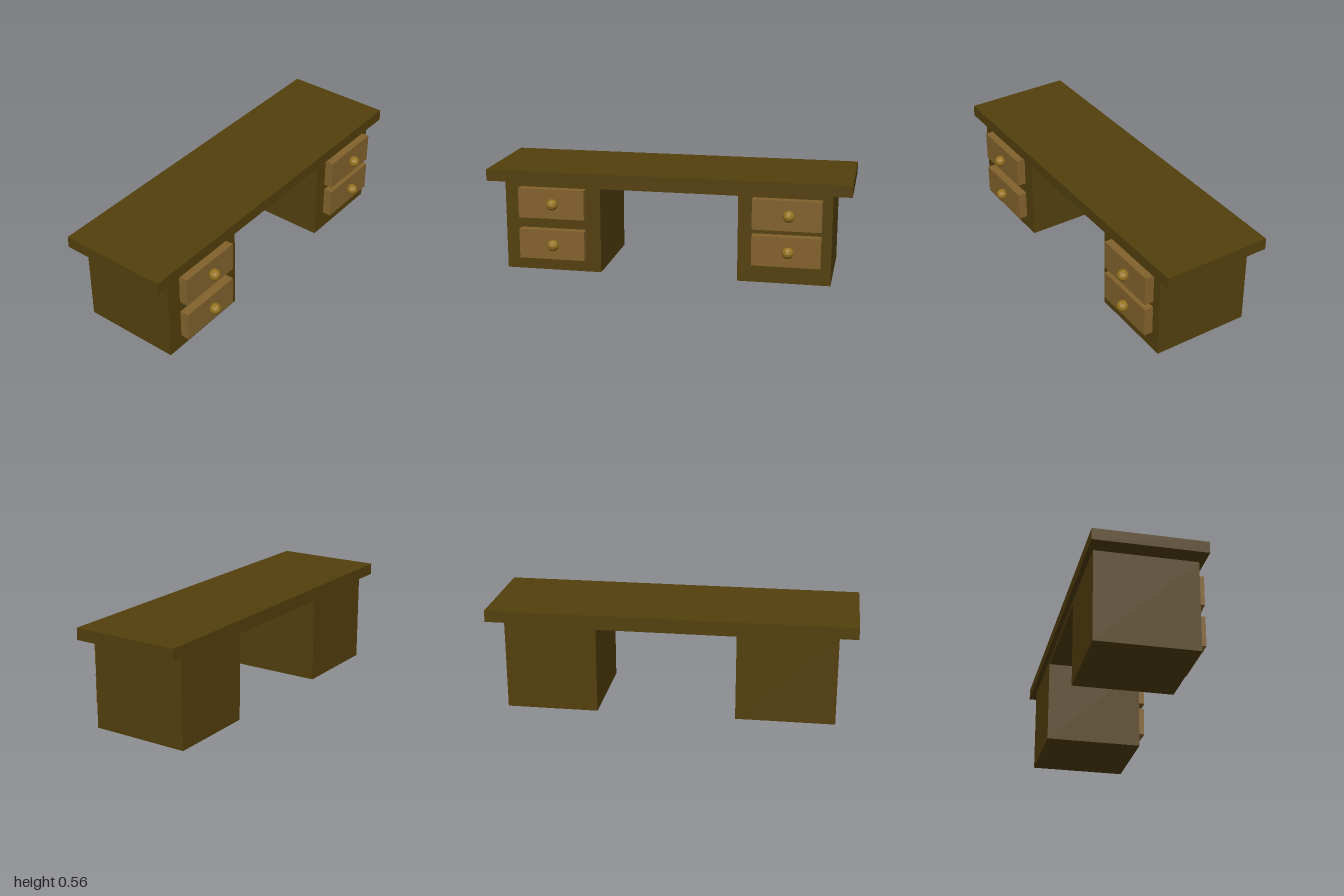
import * as THREE from 'three';

export function createModel() {
  const desk = new THREE.Group();
  desk.name = 'desk';

  const makeMaterial = (name, color) => {
    const m = new THREE.MeshStandardMaterial({ color });
    m.name = name;
    return m;
  };
  const darkWood = makeMaterial('dark wood', 0x54400d);
  const lightWood = makeMaterial('light wood', 0x83622d);
  const brass = makeMaterial('brass', 0x96731f);
  brass.flatShading = true;

  // Box given by its lower and upper limits on each axis
  const addBox = (parent, name, material, [x0, x1], [y0, y1], [z0, z1]) => {
    const mesh = new THREE.Mesh(new THREE.BoxGeometry(x1 - x0, y1 - y0, z1 - z0), material);
    mesh.position.set((x0 + x1) / 2, (y0 + y1) / 2, (z0 + z1) / 2);
    mesh.name = name;
    parent.add(mesh);
  };

  const depth = [-0.309, 0.237];
  addBox(desk, 'desktop', darkWood, [-0.337, 0.265], [0.499, 0.563], [-1, 1]);
  // Thin panel spanning the knee space
  addBox(desk, 'kneeSpacePanel', darkWood, depth, [0.474, 0.499], [-0.397, 0.362]);

  // Each pedestal carries two drawers, listed by their bottom and top heights
  const pedestals = [
    { name: 'leftPedestal', z: [0.362, 0.9], drawerZ: [0.442, 0.812], drawers: [[0.306, 0.471], [0.075, 0.24]] },
    { name: 'rightPedestal', z: [-0.9, -0.397], drawerZ: [-0.847, -0.477], drawers: [[0.306, 0.471], [0.107, 0.272]] },
  ];
  const knobGeometry = new THREE.IcosahedronGeometry(0.032, 1);

  for (const { name, z, drawerZ, drawers } of pedestals) {
    const pedestal = new THREE.Group();
    pedestal.name = name;
    addBox(pedestal, 'cabinet', darkWood, depth, [0, 0.499], z);
    for (const y of drawers) {
      addBox(pedestal, 'drawerFront', lightWood, [0.237, 0.287], y, drawerZ);
      const knob = new THREE.Mesh(knobGeometry, brass);
      knob.name = 'drawerKnob';
      knob.position.set(0.305, (y[0] + y[1]) / 2 + 0.002, (drawerZ[0] + drawerZ[1]) / 2 - 0.012);
      pedestal.add(knob);
    }
    desk.add(pedestal);
  }
  return desk;
}
